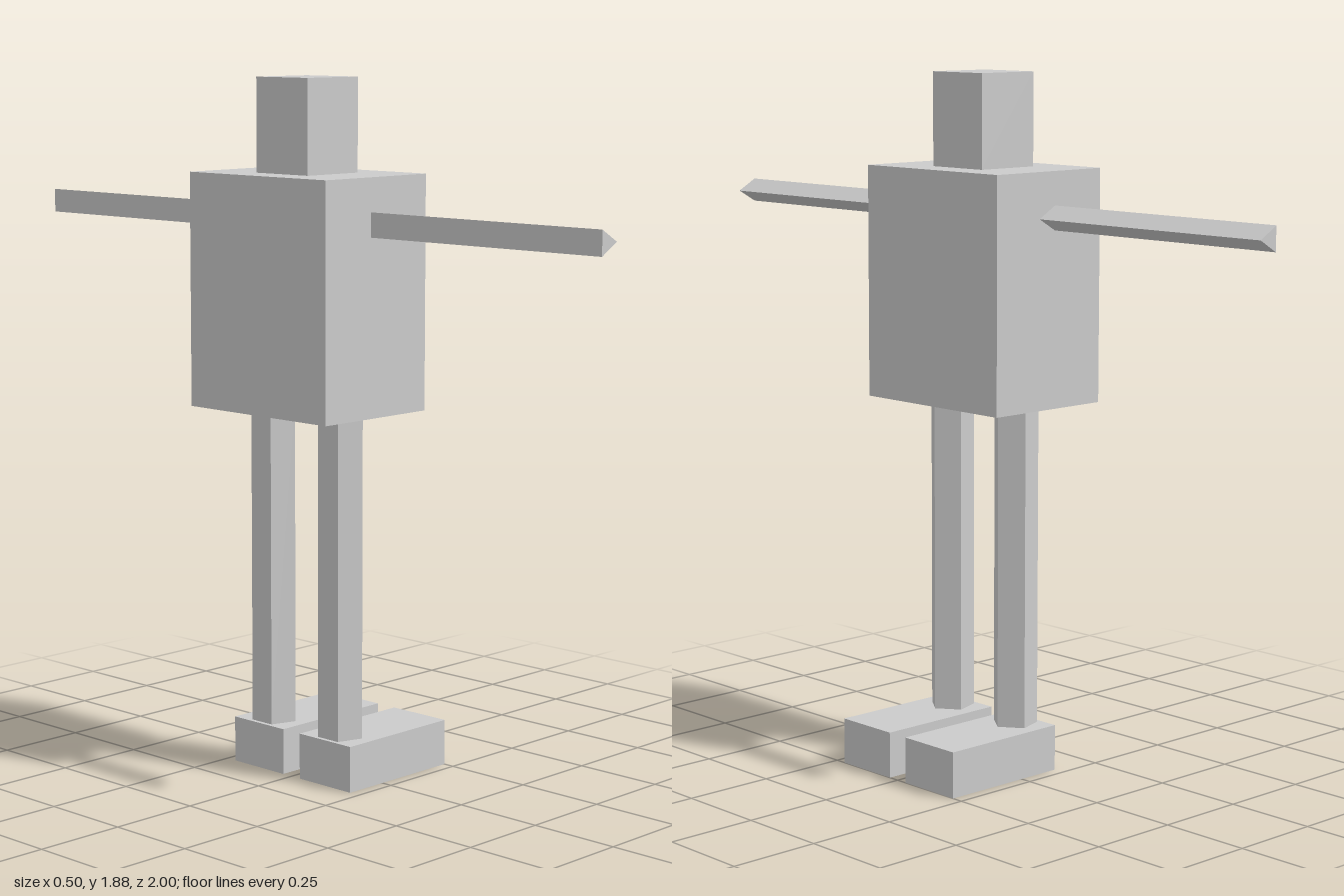
import * as THREE from 'three';

export function createModel() {
  const model = new THREE.Group();
  const material = new THREE.MeshStandardMaterial({ color: 0xcccccc, flatShading: true });
  const midX = -0.0625; // shared centre line of torso, head and limbs

  function add(name, geometry, x, y, z) {
    const mesh = new THREE.Mesh(geometry, material);
    mesh.name = name;
    mesh.position.set(x, y, z);
    model.add(mesh);
    return mesh;
  }

  // Prism with one edge pointing towards the toes (+x)
  const prism = (radius, length, sides) =>
    new THREE.CylinderGeometry(radius, radius, length, sides, 1, false, Math.PI / 2);

  add('torso', new THREE.BoxGeometry(0.375, 0.625, 0.5), midX, 1.3125, 0);
  add('head', new THREE.BoxGeometry(0.1875, 0.25, 0.1875), midX, 1.75, 0);

  // Paired limbs, mirrored in z
  for (const [side, s] of [['left', -1], ['right', 1]]) {
    // Three-sided arm held straight out
    add(side + 'Arm', prism(0.0375, 0.75, 3).rotateX(Math.PI / 2), midX - 0.002, 1.503, s * 0.625);
    // Five-sided leg
    add(side + 'Leg', prism(0.0625, 0.875, 5), midX, 0.5625, s * 0.125);
    add(side + 'Foot', new THREE.BoxGeometry(0.375, 0.125, 0.1875), 0.0625, 0.0625, s * 0.125);
  }
  return model;
}
